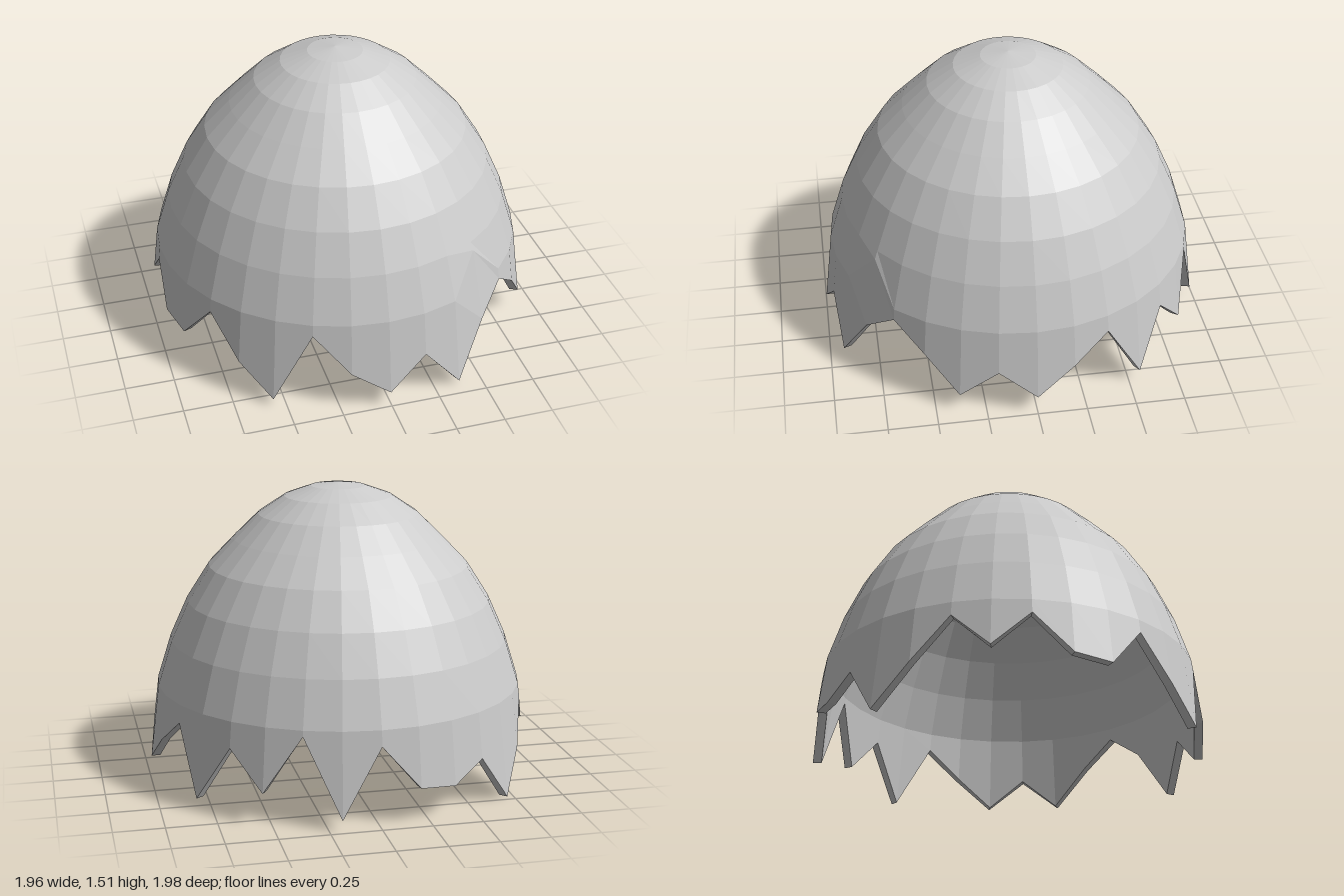
import * as THREE from 'three';

const SIDES = 32;
const WALL = 0.045;

// Dome profile from the crown down: [radius, height]
const PROFILE = [
  [0, 1.51], [0.14, 1.49], [0.277, 1.44], [0.412, 1.35], [0.54, 1.225],
  [0.67, 1.09], [0.785, 0.91], [0.875, 0.71], [0.948, 0.48],
];

// Height of the broken edge at each side, going from +x through +z
const EDGE = [
  0.10, 0.25, 0.10, 0.29, 0.42, 0.29, 0.02, 0.25,
  0.085, 0.21, 0.42, 0.04, 0.20, 0.41, 0.20, 0.22,
  0.41, 0.24, 0.41, 0.20, 0.00, 0.25, 0.16, 0.18,
  0.40, 0.055, 0.45, 0.16, 0.35, 0.06, 0.39, 0.25,
];

// The wall keeps flaring slightly below the last full ring
const edgeRadius = (y) => 0.948 + (0.48 - y) * 0.125;

function brokenShell() {
  // Inner wall downwards, across the edge, outer wall upwards
  const inner = PROFILE.map(([r, y], j) => {
    const t = j / (PROFILE.length - 1);
    return new THREE.Vector2(Math.max(0, r - WALL * Math.min(1, t * 1.3)), y - WALL * (1 - t));
  });
  const outer = PROFILE.map(([r, y]) => new THREE.Vector2(r, y)).reverse();
  const rim = [new THREE.Vector2(0.93, 0.2), new THREE.Vector2(0.98, 0.2)];
  const path = [...inner, ...rim, ...outer];
  const geometry = new THREE.LatheGeometry(path, SIDES);

  const pos = geometry.attributes.position;
  const innerRim = inner.length;
  const place = (i, j, r, y) => {
    const a = (i / SIDES) * Math.PI * 2;
    pos.setXYZ(i * path.length + j, r * Math.sin(a), y, r * Math.cos(a));
  };

  for (let i = 0; i <= SIDES; i++) {
    const side = (SIDES / 4 - i + 2 * SIDES) % SIDES;
    // Jagged edge
    const y = EDGE[side];
    place(i, innerRim, edgeRadius(y) - WALL, y);
    place(i, innerRim + 1, edgeRadius(y), y);
    // One chipped facet rises higher up the wall
    if (side === 5) place(i, innerRim + 2, 0.893, 0.67);
  }

  const flat = geometry.toNonIndexed();
  flat.computeVertexNormals();
  return flat;
}

export function createModel() {
  const group = new THREE.Group();
  const shell = new THREE.Mesh(
    brokenShell(),
    new THREE.MeshStandardMaterial({ color: 0xcccccc, flatShading: true }),
  );
  shell.name = 'brokenEggshell';
  shell.position.x = -0.006;
  group.add(shell);
  return group;
}
